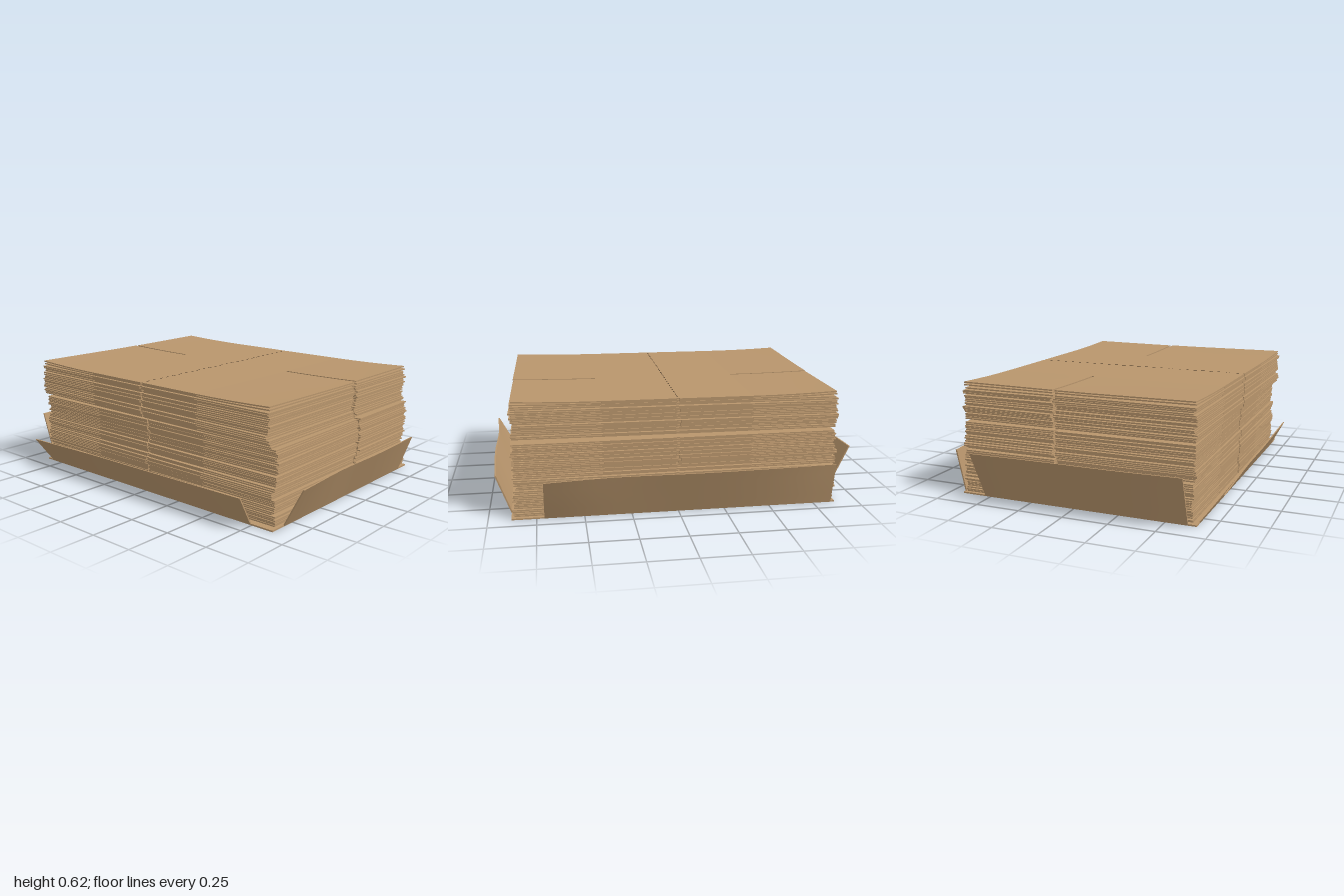
import * as THREE from 'three';
import { mergeGeometries } from 'three/addons/utils/BufferGeometryUtils.js';

const W = 1.29;      // folded box width
const HALF = 0.865;  // half length including end flaps
const CREASE = 0.4;  // where the end flaps begin
const SLOT = 0.11;   // x of the slot between end flaps
const T = 0.007;     // board thickness

const board = new THREE.MeshStandardMaterial({ color: 0xb8956c, side: THREE.DoubleSide });
const dark = new THREE.MeshStandardMaterial({ color: 0x4a3a28 });

// Small seeded generator, returns -1..1
let seed = 7;
function jitter() {
  seed = (seed * 16807) % 2147483647;
  return (seed / 2147483647) * 2 - 1;
}

function box(x0, x1, y0, y1, z0, z1, sx = 1, sz = 1) {
  return new THREE.BoxGeometry(x1 - x0, y1 - y0, z1 - z0, sx, 1, sz)
    .translate((x0 + x1) / 2, (y0 + y1) / 2, (z0 + z1) / 2);
}

// Move every vertex by a rule, then refresh the normals
function reshape(geometry, rule) {
  const p = geometry.attributes.position;
  const v = new THREE.Vector3();
  for (let i = 0; i < p.count; i++) {
    rule(v.fromBufferAttribute(p, i));
    p.setXYZ(i, v.x, v.y, v.z);
  }
  geometry.computeVertexNormals();
  return geometry;
}

// One layer: centre panel plus four slightly bowed end flaps
function layer(y, lift) {
  const e = W / 2;
  const parts = [box(-e + 0.006, e - 0.006, y, y + T, -CREASE, CREASE)];
  for (const s of [-1, 1]) {
    for (const [x0, x1] of [[-e, SLOT - 0.008], [SLOT + 0.008, e]]) {
      const end = HALF + 0.008 * jitter();
      const bow = lift + 0.0012 * jitter();
      const slant = 0.003 * jitter();
      const flap = box(x0, x1, y, y + T, s > 0 ? CREASE : -end, s > 0 ? end : -CREASE, 4, 4);
      parts.push(reshape(flap, (v) => {
        const t = (Math.abs(v.z) - CREASE) / (end - CREASE);
        v.y += t * t * bow * (0.6 + 0.4 * Math.abs(v.x) / e);
        v.z += s * t * slant * v.x / e;
      }));
    }
  }
  return parts;
}

// A flattened box: two layers joined by folds along both sides
function flatBox(y, pitch, lift) {
  const e = W / 2;
  const parts = [...layer(y, lift * 0.6), ...layer(y + pitch, lift)];
  for (const s of [-1, 1]) {
    for (const [z0, z1] of [[-CREASE, -0.008], [0.008, CREASE]]) {
      const x = s * (e - 0.003);
      parts.push(box(x - 0.003, x + 0.003, y, y + pitch + T, z0, z1));
    }
  }
  return mergeGeometries(parts);
}

// A bundle of flattened boxes, each a little out of line
function bundle(name, y0, y1, x, z, turn, openTop) {
  const count = 10;
  const pitch = (y1 - y0) / (count * 2);
  const parts = [];
  for (let i = 0; i < count; i++) {
    const last = i === count - 1;
    const g = flatBox(y0 + i * 2 * pitch, pitch, openTop && last ? 0.012 : 0);
    const k = last ? 0.2 : 1;
    g.rotateY(turn + 0.004 * k * jitter());
    g.translate(x + 0.008 * k * jitter(), 0, z + 0.007 * k * jitter());
    parts.push(g);
  }
  const mesh = new THREE.Mesh(mergeGeometries(parts), board);
  mesh.name = name;
  return mesh;
}

// Tray flap: bottom edge a-b is straight, top edge follows a curve
function trayFlap(name, a, b, topPoints) {
  const bottom = new THREE.LineCurve3(new THREE.Vector3(...a), new THREE.Vector3(...b));
  const top = new THREE.CatmullRomCurve3(topPoints.map((p) => new THREE.Vector3(...p)));
  const out = new THREE.Vector3(a[0] + b[0], 0, a[2] + b[2]).normalize();
  if (Math.abs(out.x) > Math.abs(out.z)) out.set(Math.sign(out.x), 0, 0);
  else out.set(0, 0, Math.sign(out.z));
  const g = new THREE.BoxGeometry(1, 1, 1, 16, 4, 1);
  reshape(g, (v) => {
    const u = THREE.MathUtils.clamp(v.x + 0.5, 0, 1);
    const h = v.y + 0.5;
    const inner = v.z < 0 ? 0.008 : 0;
    v.copy(bottom.getPoint(u)).lerp(top.getPoint(u), h).addScaledVector(out, -inner);
  });
  const mesh = new THREE.Mesh(g, board);
  mesh.name = name;
  return mesh;
}

export function createModel() {
  const model = new THREE.Group();
  model.name = 'stackOfFlattenedBoxes';

  // Open tray under the stack
  const tray = new THREE.Group();
  tray.name = 'tray';
  const base = new THREE.Mesh(box(-0.665, 0.67, 0, 0.008, -0.87, 0.88), board);
  base.name = 'trayBase';
  tray.add(
    base,
    trayFlap('frontFlap', [-0.57, 0, 0.88], [0.58, 0, 0.88],
      [[-0.57, 0.215, 0.995], [-0.2, 0.218, 0.975], [0.15, 0.218, 0.978], [0.58, 0.215, 0.96]]),
    trayFlap('backFlap', [0.53, 0, -0.87], [-0.62, 0, -0.87],
      [[0.53, 0.272, -1.0], [0.15, 0.27, -0.985], [-0.25, 0.27, -0.985], [-0.62, 0.268, -0.965]]),
    trayFlap('leftFlap', [0.67, 0, 0.71], [0.67, 0, -0.85],
      [[0.787, 0.235, 0.71], [0.758, 0.238, 0.35], [0.762, 0.238, -0.1], [0.75, 0.238, -0.5], [0.722, 0.235, -0.85]]),
    trayFlap('rightFlap', [-0.665, 0, -0.82], [-0.665, 0, 0.745],
      [[-0.79, 0.164, -0.82], [-0.772, 0.166, -0.3], [-0.768, 0.166, 0.1], [-0.752, 0.164, 0.745]]),
  );
  model.add(tray);

  // Three bundles, each turned a little differently
  model.add(
    bundle('lowerBundle', 0.012, 0.212, 0.005, 0.0, 0.002, false),
    bundle('middleBundle', 0.217, 0.405, 0.002, 0.005, 0.008, false),
    bundle('upperBundle', 0.418, 0.612, -0.016, -0.008, -0.009, true),
  );

  // Perforated crease across the top board
  const dashes = [];
  for (let x = -0.6; x < 0.61; x += 0.05) {
    dashes.push(box(x - 0.012, x + 0.012, 0.608, 0.6105, -0.002, 0.002));
  }
  const crease = new THREE.Mesh(mergeGeometries(dashes).rotateY(-0.009).translate(-0.016, 0, -0.008), dark);
  crease.name = 'perforatedCrease';
  model.add(crease);

  return model;
}
